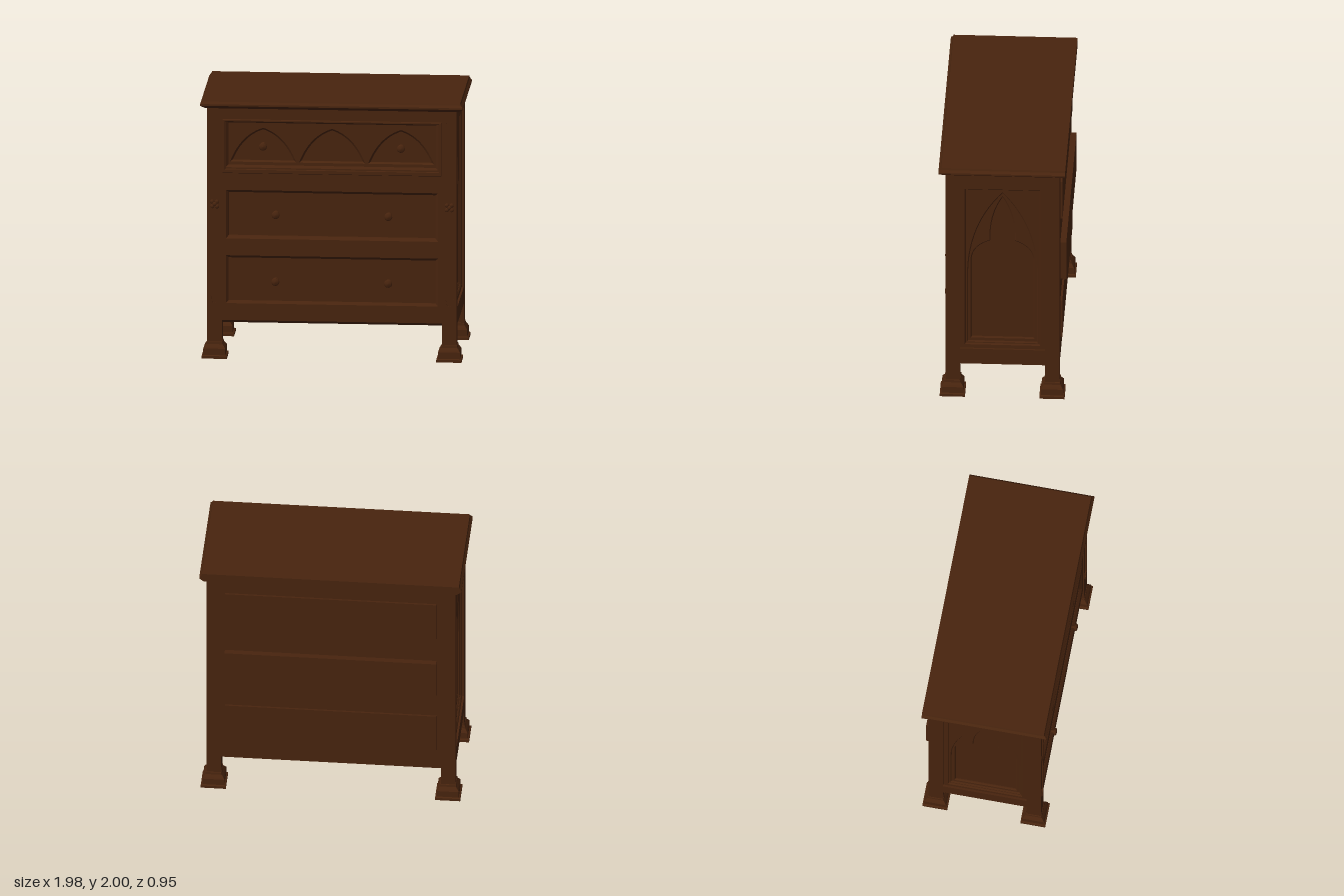
import * as THREE from 'three';

const wood = new THREE.MeshStandardMaterial({ color: 0x48240e });
wood.name = 'darkWood';

function add(parent, name, geo, x = 0, y = 0, z = 0) {
  const m = new THREE.Mesh(geo, wood);
  m.name = name;
  m.position.set(x, y, z);
  parent.add(m);
  return m;
}

// box given by its limits
function block(parent, name, x0, x1, y0, y1, z0, z1) {
  return add(parent, name, new THREE.BoxGeometry(x1 - x0, y1 - y0, z1 - z0),
    (x0 + x1) / 2, (y0 + y1) / 2, (z0 + z1) / 2);
}

function rect(w, y0, y1, T = THREE.Path) {
  const p = new T();
  p.moveTo(-w, y0); p.lineTo(w, y0); p.lineTo(w, y1); p.lineTo(-w, y1); p.closePath();
  return p;
}

// closed outline mirrored about x = cx from its right half, bottom to top
function mirrored(half, cx = 0) {
  const right = half.getPoints(14);
  const left = right.map(p => new THREE.Vector2(-p.x, p.y)).reverse();
  const all = right.concat(left.filter(p => Math.abs(p.x) > 1e-4));
  return new THREE.Path(all.map(p => new THREE.Vector2(p.x + cx, p.y)));
}

// board with chamfered openings; its front lies at z = face
function board(parent, name, shape, holes, face, thick, bevel) {
  shape.holes = holes;
  const geo = new THREE.ExtrudeGeometry(shape, {
    depth: thick - 2 * bevel, bevelEnabled: bevel > 0,
    bevelSize: bevel, bevelThickness: bevel, bevelSegments: 1, curveSegments: 14,
  });
  return add(parent, name, geo, 0, 0, face - thick + bevel);
}

// table top: moulded front and sides, flat back
function topGeometry() {
  const rings = [[1.93, .955, .445], [1.945, .975, .468], [1.955, .99, .48],
    [1.968, .99, .48], [1.985, .975, .465], [2, .97, .458]];
  const back = -0.475, pos = [], idx = [];
  for (const [y, x, f] of rings) pos.push(-x, y, f, x, y, f, x, y, back, -x, y, back);
  for (let r = 0; r < rings.length - 1; r++) for (let i = 0; i < 4; i++) {
    const a = r * 4 + i, b = r * 4 + (i + 1) % 4;
    idx.push(a, b, b + 4, a, b + 4, a + 4);
  }
  const t = (rings.length - 1) * 4;
  idx.push(t, t + 1, t + 2, t, t + 2, t + 3, 0, 2, 1, 0, 3, 2);
  const g = new THREE.BufferGeometry();
  g.setAttribute('position', new THREE.Float32BufferAttribute(pos, 3));
  g.setIndex(idx);
  const flat = g.toNonIndexed();
  flat.computeVertexNormals();
  return flat;
}

// square stepped foot, slightly hollow underneath
function footGeometry() {
  const prof = [[0, .02], [.095, 0], [.095, .02], [.083, .025], [.083, .075],
    [.075, .088], [.062, .105], [.06, .122], [.054, .125]]
    .map(([r, y]) => new THREE.Vector2(r * Math.SQRT2, y));
  const g = new THREE.LatheGeometry(prof, 4).rotateY(Math.PI / 4).toNonIndexed();
  g.computeVertexNormals();
  return g;
}

function knobGeometry() {
  const prof = [[.024, 0], [.024, .006], [.013, .014], [.01, .03], [.018, .036],
    [.029, .042], [.03, .048], [.022, .056], [0, .06]]
    .map(([r, y]) => new THREE.Vector2(r, y));
  return new THREE.LatheGeometry(prof, 20).rotateX(Math.PI / 2);
}

// carved panel between two posts, facing +z
function sidePanel() {
  const g = new THREE.Group();
  g.name = 'sidePanel';
  block(g, 'lowerRail', -.32, .32, .27, .40, .85, .94);
  block(g, 'upperRail', -.32, .32, 1.82, 1.94, .85, .94);
  const frame = () => rect(.32, .40, 1.82, THREE.Shape);
  board(g, 'panelFrame', frame(), [rect(.285, .43, 1.795)], .925, .03, .008);

  const arch = new THREE.Path();
  arch.moveTo(.268, .445);
  arch.lineTo(.268, 1.0);
  arch.quadraticCurveTo(.275, 1.47, 0, 1.765);
  board(g, 'pointedArch', frame(), [mirrored(arch)], .912, .03, .008);

  const cusp = new THREE.Path();
  cusp.moveTo(.24, .475);
  cusp.lineTo(.24, 1.18);
  cusp.quadraticCurveTo(.225, 1.29, .1, 1.335);
  cusp.quadraticCurveTo(.105, 1.57, 0, 1.725);
  board(g, 'cuspedArch', frame(), [mirrored(cusp)], .9, .03, .008);
  block(g, 'panelBack', -.32, .32, .40, 1.82, .85, .885);
  return g;
}

export function createModel() {
  const model = new THREE.Group();
  model.name = 'chestOfDrawers';

  add(model, 'top', topGeometry());
  block(model, 'bottomBoard', -.885, .885, .27, .30, -.425, .40);
  block(model, 'backPanel', -.83, .83, .27, 1.935, -.43, -.40);

  // posts and feet
  const footGeo = footGeometry();
  for (const s of [-1, 1]) {
    const cx = s * .885;
    block(model, 'backPost', cx - .055, cx + .055, .12, 1.935, -.43, -.32);
    block(model, 'frontPost', cx - .055, cx + .055, .12, 1.935, .32, .42);
    for (const z of [-.375, .375]) add(model, 'foot', footGeo, cx, 0, z);

    // sunk flute with narrowed, rounded ends
    const flute = new THREE.Path();
    flute.moveTo(0, .42);
    flute.quadraticCurveTo(.02, .42, .02, .45);
    flute.quadraticCurveTo(.022, .475, .035, .48);
    flute.lineTo(.035, 1.79);
    flute.quadraticCurveTo(.022, 1.795, .02, 1.82);
    flute.quadraticCurveTo(.02, 1.855, 0, 1.855);
    board(model, 'postFace', rect(.055, .12, 1.935, THREE.Shape), [mirrored(flute)],
      .43, .01, 0).position.x = cx;

    // small carved flower
    const petal = new THREE.SphereGeometry(.016, 10, 8).scale(1, 1, .5);
    for (const dx of [-1, 1]) for (const dy of [-1, 1])
      add(model, 'flowerPetal', petal, cx + dx * .018, 1.185 + dy * .018, .423);
    add(model, 'flowerCentre', petal, cx, 1.185, .426);
  }

  // front frame with three chamfered openings
  const openings = [[.42, .79], [.92, 1.295], [1.47, 1.83]];
  board(model, 'frontFrame', rect(.83, .29, 1.93, THREE.Shape),
    openings.map(([a, b]) => rect(.8, a, b)), .42, .06, .02);
  board(model, 'topDrawerMoulding', rect(.822, 1.43, 1.838, THREE.Shape),
    [rect(.808, 1.455, 1.828)], .43, .02, .004);

  // drawers, the middle one pushed further back
  const drawers = [
    { name: 'bottomDrawer', y: .60, face: .398, back: -.445, knobX: .425, knobY: .595 },
    { name: 'middleDrawer', y: 1.11, face: .37, back: -.475, knobX: .425, knobY: 1.105 },
    { name: 'topDrawer', y: 1.64, face: .38, back: -.445, knobX: .52, knobY: 1.635 },
  ];
  const knobGeo = knobGeometry();
  drawers.forEach((d, i) => {
    const g = new THREE.Group();
    g.name = d.name;
    block(g, 'drawerFront', -.81, .81, openings[i][0] - .01, openings[i][1] + .01, d.face - .05, d.face);
    block(g, 'drawerBody', -.8, .8, d.y - .16, d.y + .16, d.back, d.face - .02);
    for (const s of [-1, 1]) add(g, 'knob', knobGeo, s * d.knobX, d.knobY, d.face);
    model.add(g);
  });

  // carved arches on the top drawer
  const arches = [-.52, 0, .52].map(cx => {
    const half = new THREE.Path();
    half.moveTo(.25, 1.51);
    half.quadraticCurveTo(.17, 1.72, 0, 1.775);
    return mirrored(half, cx);
  });
  board(model, 'drawerArches', rect(.79, 1.47, 1.82, THREE.Shape), arches, .403, .04, .014);

  // carved sides
  for (const s of [-1, 1]) {
    const p = sidePanel();
    p.rotation.y = s * Math.PI / 2;
    model.add(p);
  }
  return model;
}
